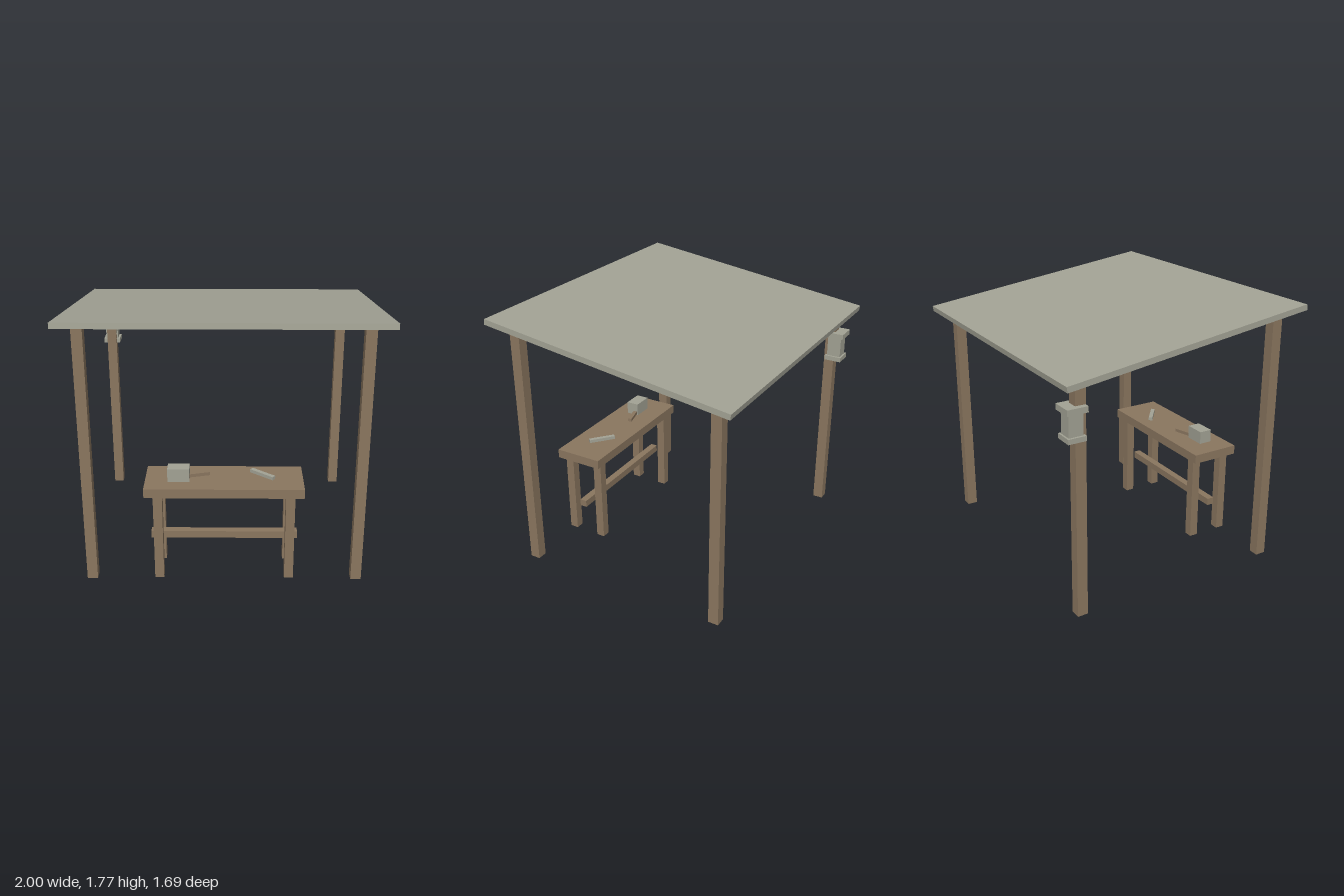
import * as THREE from 'three';

export function createModel() {
  const model = new THREE.Group();
  model.name = 'workShelter';

  const wood = new THREE.MeshStandardMaterial({ color: 0x8a765f });
  wood.name = 'wood';
  const stone = new THREE.MeshStandardMaterial({ color: 0xa2a294 });
  stone.name = 'paleGrey';

  // Box given by size, centre in x and z, and height of its base
  function box(parent, name, material, [w, h, d], [x, base, z], yaw = 0) {
    const mesh = new THREE.Mesh(new THREE.BoxGeometry(w, h, d), material);
    mesh.name = name;
    mesh.position.set(x, base + h / 2, z);
    mesh.rotation.y = yaw;
    parent.add(mesh);
    return mesh;
  }

  function group(name) {
    const g = new THREE.Group();
    g.name = name;
    model.add(g);
    return g;
  }

  // Sloping roof, higher at the front
  const roof = box(model, 'roof', stone, [2, 0.037, 1.7], [0, 1.6185, 0]);
  roof.rotation.x = -0.134;

  // Corner posts
  for (const side of [-1, 1]) {
    box(model, 'frontPost', wood, [0.068, 1.712, 0.07], [side * 0.862, 0, 0.706]);
    box(model, 'backPost', wood, [0.068, 1.516, 0.07], [side * 0.862, 0, -0.704]);
  }

  // Workbench
  const bench = group('workbench');
  const benchZ = 0.58;
  box(bench, 'benchTop', wood, [1.016, 0.062, 0.337], [0, 0.597, benchZ]);
  for (const side of [-1, 1]) {
    for (const end of [-1, 1]) {
      box(bench, 'benchLeg', wood, [0.059, 0.597, 0.059], [side * 0.423, 0, benchZ + end * 0.117]);
    }
  }
  box(bench, 'stretcher', wood, [0.96, 0.049, 0.05], [0, 0.228, benchZ]);

  // Mallet
  const mallet = group('mallet');
  box(mallet, 'malletHead', stone, [0.14, 0.089, 0.09], [-0.292, 0.659, 0.602]);
  box(mallet, 'malletHandle', wood, [0.19, 0.022, 0.027], [-0.187, 0.666, 0.57], 0.26);

  // Chisel lying askew on the bench
  box(model, 'chisel', stone, [0.183, 0.022, 0.028], [0.248, 0.664, 0.557], -0.69);

  // Lantern on the back right post
  const lantern = group('lantern');
  const lx = -0.863, lz = -0.74;
  box(lantern, 'lanternBase', stone, [0.119, 0.032, 0.119], [lx, 1.167, lz]);
  box(lantern, 'lanternBody', stone, [0.088, 0.142, 0.096], [lx, 1.199, lz]);
  box(lantern, 'lanternCap', stone, [0.136, 0.037, 0.136], [lx, 1.341, lz]);

  return model;
}
